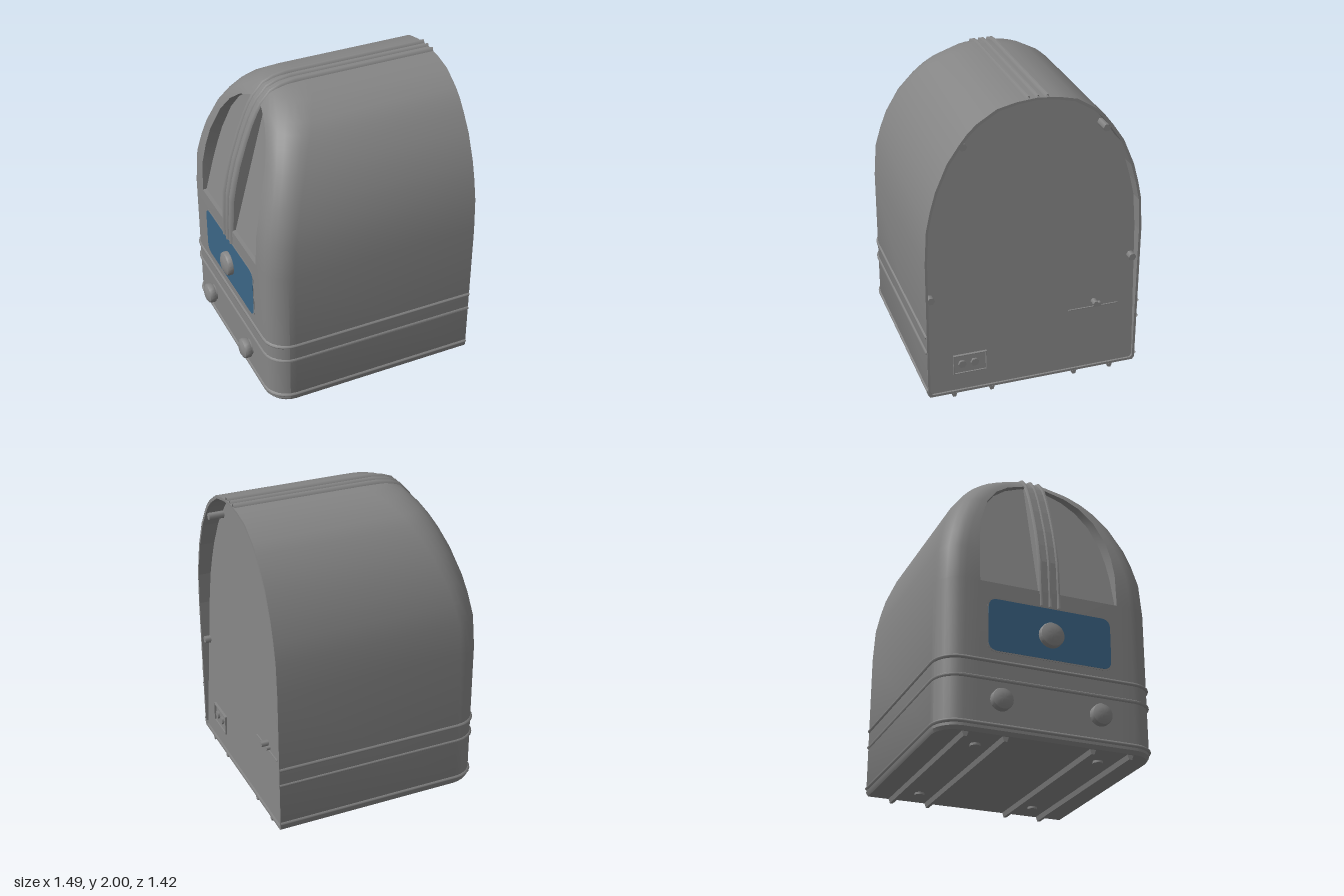
import * as THREE from 'three';
import { mergeVertices, toCreasedNormals } from 'three/addons/utils/BufferGeometryUtils.js';

const BACK = 0.735;
// Shell levels: y, half width, front x, corner depth, corner width, half width of the recess
const LEVELS = [
  [0.03, 0.69, -0.65, 0.14, 0.13, 0.46],
  [0.05, 0.703, -0.672, 0.16, 0.15, 0.46],
  [1.0, 0.703, -0.672, 0.16, 0.15, 0.46],
  [1.22, 0.69, -0.66, 0.16, 0.15, 0.46],
  [1.35, 0.662, -0.636, 0.165, 0.15, 0.45],
  [1.47, 0.628, -0.607, 0.17, 0.15, 0.43],
  [1.64, 0.555, -0.553, 0.18, 0.15, 0.37],
  [1.75, 0.48, -0.512, 0.19, 0.16, 0.29],
  [1.82, 0.425, -0.48, 0.2, 0.18, 0.2],
  [1.87, 0.37, -0.452, 0.2, 0.2, 0.08],
  [1.945, 0.25, -0.385, 0.2, 0.2, 0],
  [1.973, 0.13, -0.31, 0.18, 0.13, 0],
  [1.985, 0, -0.22, 0.12, 0, 0],
];
const OPEN_FROM = 2, OPEN_TO = 9;
const recessX = y => -0.645 + (y - 1) * 0.26;
const rearX = y => 0.722 - (y - 0.04) * 0.06;

const grey = new THREE.MeshStandardMaterial({ color: 0x858585, side: THREE.DoubleSide });
const blue = new THREE.MeshStandardMaterial({ color: 0x3b6585 });

// Rounded U outline of one level, from the left rear edge round the front
function contour([y, W, F, rx, rz, w], grow = 0) {
  const half = [[BACK, W + grow]];
  for (let i = 0; i <= 6; i++) {
    const a = (i / 6) * Math.PI / 2;
    half.push([F - grow + rx * (1 - Math.sin(a)), W + grow - rz * (1 - Math.cos(a))]);
  }
  half.push([F - grow, w]);
  return [...half, ...half.slice().reverse().map(([x, z]) => [x, -z])].map(([x, z]) => [x, y, z]);
}

// Skin stacked outlines with quads
function loft(rings, skip = () => false, crease = 0.6) {
  const n = rings[0].length, index = [];
  for (let i = 0; i < rings.length - 1; i++)
    for (let j = 0; j < n - 1; j++) {
      if (skip(i, j)) continue;
      const a = i * n + j, d = a + n;
      index.push(a, d, d + 1, a, d + 1, a + 1);
    }
  const g = new THREE.BufferGeometry();
  g.setAttribute('position', new THREE.Float32BufferAttribute(rings.flat(2), 3));
  g.setIndex(index);
  return toCreasedNormals(mergeVertices(g), crease);
}

// Arch outline across the cabinet, in z and y
function archPoints(inset) {
  const side = LEVELS.map(([y, W]) => new THREE.Vector2(
    Math.max(W - inset, 0), 0.03 + inset + (y - 0.03) * (1 - inset)));
  return [...side, ...side.slice(0, -1).reverse().map(p => new THREE.Vector2(-p.x, p.y))];
}

export function createModel() {
  const model = new THREE.Group();
  const add = (name, geometry, material = grey, x = 0, y = 0, z = 0) => {
    const mesh = new THREE.Mesh(geometry, material);
    mesh.name = name;
    mesh.position.set(x, y, z);
    model.add(mesh);
  };

  // Cabinet shell with an arched opening in its face
  const mid = 8;
  add('cabinetShell', loft(LEVELS.map(l => contour(l)),
    (i, j) => j === mid && i >= OPEN_FROM && i < OPEN_TO));

  // Sunken sloping panel and its side walls
  const open = LEVELS.slice(OPEN_FROM, OPEN_TO + 1);
  const lip = ([y, , F, , , w]) => [[F, y, w], [F, y, w], [F, y, -w], [F, y, -w]];
  const recess = open.map(([y, , F, , , w]) => {
    const P = recessX(y);
    return [[F, y, w], [P, y, w], [P, y, -w], [F, y, -w]];
  });
  add('speakerRecess', loft([lip(open[0]), ...recess, lip(open[open.length - 1])]));

  // Central bridge across the recess
  const bridge = new THREE.Shape([
    ...open.map(l => new THREE.Vector2(l[2], l[0])),
    ...open.slice().reverse().map(l => new THREE.Vector2(recessX(l[0]) + 0.01, l[0])),
  ]);
  add('recessBridge', new THREE.ExtrudeGeometry(bridge, { depth: 0.13, bevelEnabled: false }), grey, 0, 0, -0.065);

  // Three tapered ribs running up the face and along the crown
  const path = [[-0.672, 0.9], ...LEVELS.slice(OPEN_FROM).map(l => [l[2], l[0]]), [BACK, 1.985]];
  const rib = path.map(([x, y]) => {
    const dir = new THREE.Vector2(Math.min(x, -0.22) + 0.22, Math.max(y - 1.1, 0)).normalize();
    return [[-0.01, 0.014], [0.015, 0.005], [0.015, -0.005], [-0.01, -0.014]]
      .map(([d, z]) => [x + dir.x * d, y + dir.y * d, z]);
  });
  for (const z of [-0.058, 0, 0.058]) add('crownRib', loft(rib, () => false, 1.4), grey, 0, 0, z);

  // Raised trim lines round the cabinet
  for (const y of [0.08, 0.365, 0.48]) {
    const ring = (dy, grow) => contour([y + dy, ...LEVELS[1].slice(1)], grow);
    add('trimLine', loft([ring(-0.012, 0), ring(-0.004, 0.009), ring(0.004, 0.009), ring(0.012, 0)],
      () => false, 1.4));
  }

  // Dial plate with a thin frame, nearly flush with the face
  const plate = (w, h, r, depth) => {
    const s = new THREE.Shape();
    s.moveTo(-w + r, -h).lineTo(w - r, -h).quadraticCurveTo(w, -h, w, -h + r)
      .lineTo(w, h - r).quadraticCurveTo(w, h, w - r, h)
      .lineTo(-w + r, h).quadraticCurveTo(-w, h, -w, h - r)
      .lineTo(-w, -h + r).quadraticCurveTo(-w, -h, -w + r, -h);
    return new THREE.ExtrudeGeometry(s, { depth, bevelEnabled: false, curveSegments: 6 }).rotateY(-Math.PI / 2);
  };
  add('dialFrame', plate(0.415, 0.18, 0.07, 0.014), grey, -0.66, 0.72, 0);
  add('dialPlate', plate(0.405, 0.17, 0.06, 0.0155), blue, -0.66, 0.72, 0);

  // Control knobs: short shaft, straight rim and shallow dome
  const knob = r => {
    const pts = [[0.8, 0], [0.8, 0.016], [0.97, 0.017], [1, 0.02], [1, 0.052], [0.94, 0.06], [0.6, 0.072], [0.3, 0.076], [0, 0.077]];
    const g = new THREE.LatheGeometry(pts.map(([a, h]) => new THREE.Vector2(a * r, h)), 20);
    return toCreasedNormals(g.rotateZ(Math.PI / 2), 0.6);
  };
  add('tuningKnob', knob(0.08), grey, -0.65, 0.705, 0);
  for (const z of [-0.33, 0.31]) add('lowerKnob', knob(0.068), grey, -0.668, 0.23, z);

  // Underside with runners and screw pads
  const floor = new THREE.Shape(contour(LEVELS[0]).map(([x, , z]) => new THREE.Vector2(x, z)));
  add('floor', new THREE.ShapeGeometry(floor).rotateX(Math.PI / 2), grey, 0, 0.03, 0);
  const runner = new THREE.ExtrudeGeometry(new THREE.Shape([[-0.022, 0.035], [-0.01, 0], [0.01, 0], [0.022, 0.035]]
    .map(p => new THREE.Vector2(...p))), { depth: 1.37, bevelEnabled: false }).rotateY(Math.PI / 2);
  for (const z of [-0.53, -0.28, 0.28, 0.53]) add('runner', runner, grey, -0.64, 0, z);
  for (const x of [-0.46, 0.54])
    for (const z of [-0.4, 0.4])
      add('screwPad', new THREE.CylinderGeometry(0.032, 0.032, 0.018, 12), grey, x, 0.024, z);

  // Rear rim and leaning back panel
  const rim = new THREE.Shape(archPoints(0.001));
  rim.holes.push(new THREE.Path(archPoints(0.016)));
  add('rearRim', new THREE.ExtrudeGeometry(rim, { depth: 0.16, bevelEnabled: false }).rotateY(Math.PI / 2),
    grey, BACK - 0.16, 0, 0);
  const back = new THREE.ShapeGeometry(new THREE.Shape(archPoints(0.012)));
  const p = back.attributes.position;
  for (let i = 0; i < p.count; i++) p.setXYZ(i, rearX(p.getY(i)), p.getY(i), -p.getX(i));
  back.computeVertexNormals();
  add('backPanel', back);

  // Hexagonal bosses and bolts on the back: z, y, radius, outer x
  const bolt = (name, z, y, r, end) => {
    const start = rearX(y) - 0.01;
    add(name, new THREE.CylinderGeometry(r, r, end - start, 6).rotateZ(Math.PI / 2), grey, (start + end) / 2, y, z);
  };
  for (const [z, y] of [[0.45, 1.725], [-0.45, 1.725], [0.665, 0.725], [-0.66, 0.8]])
    bolt('mountingBoss', z, y, 0.025, 0.722);
  bolt('rearBolt', -0.415, 0.51, 0.02, 0.742);
  bolt('smallRearBolt', -0.45, 0.493, 0.013, 0.72);

  // Socket frame with two terminals, and the thin ledge
  const socket = new THREE.Shape([[-0.11, -0.068], [0.11, -0.068], [0.11, 0.068], [-0.11, 0.068]]
    .map(c => new THREE.Vector2(...c)));
  socket.holes.push(new THREE.Path([[-0.104, -0.062], [-0.104, 0.062], [0.104, 0.062], [0.104, -0.062]]
    .map(c => new THREE.Vector2(...c))));
  add('socketFrame', new THREE.ExtrudeGeometry(socket, { depth: 0.025, bevelEnabled: false }).rotateY(Math.PI / 2),
    grey, rearX(0.228) - 0.012, 0.228, 0.42);
  for (const z of [0.39, 0.472]) bolt('terminal', z, 0.228, 0.027, 0.725);
  add('rearLedge', new THREE.BoxGeometry(0.016, 0.007, 0.34), grey, rearX(0.47), 0.47, -0.41);

  return model;
}
